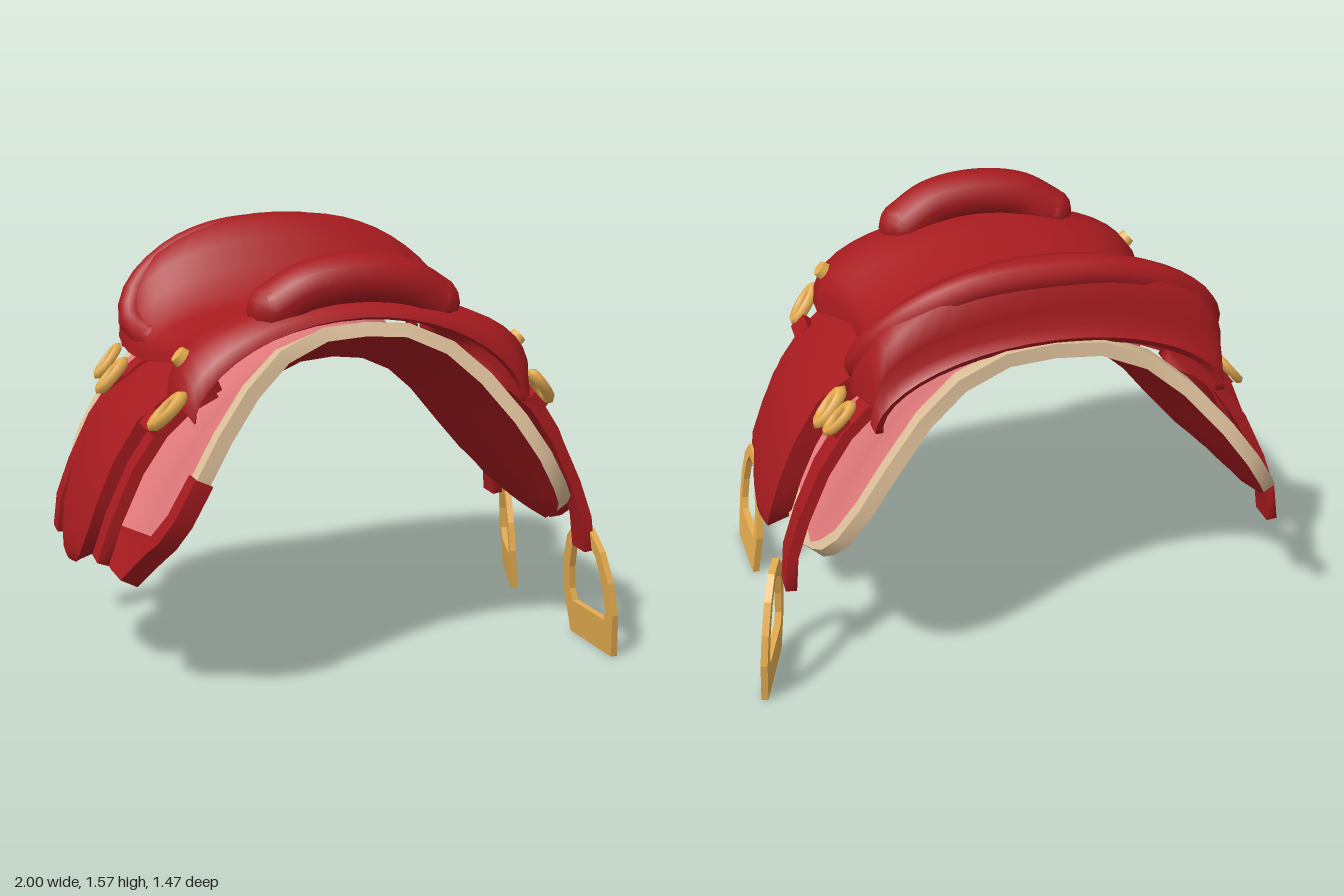
import * as THREE from 'three';

const mat = (name, color, side = THREE.FrontSide) => {
  const m = new THREE.MeshStandardMaterial({ color, side });
  m.name = name;
  return m;
};
const V = (x, y, z) => new THREE.Vector3(x, y, z);
const { lerp, clamp } = THREE.MathUtils;

// Curved sheet with thickness: rows run outward, columns run front to back.
// Material slots: 0 face, 1 face border, 2 rim, 3 underside.
function sheet(name, rows, thick, mats, flip = false) {
  if (flip) rows = rows.map(r => [...r].reverse());
  const n = rows.length, m = rows[0].length;
  const at = (i, j) => rows[clamp(i, 0, n - 1)][clamp(j, 0, m - 1)];
  const inner = rows.map((r, i) => r.map((p, j) => {
    const du = at(i + 1, j).clone().sub(at(i - 1, j));
    const dv = at(i, j + 1).clone().sub(at(i, j - 1));
    return p.clone().addScaledVector(du.cross(dv).normalize(), -thick);
  }));
  const pos = [], idx = [[], [], [], []];
  const add = p => pos.push(p.x, p.y, p.z) / 3 - 1;
  const quad = (k, a, b, c, d) => idx[k].push(a, b, c, a, c, d);
  const o = rows.map(r => r.map(add)), q = inner.map(r => r.map(add));
  for (let i = 0; i < n - 1; i++) for (let j = 0; j < m - 1; j++) {
    const edge = i === 0 || j === 0 || i === n - 2 || j === m - 2;
    quad(edge ? 1 : 0, o[i][j], o[i + 1][j], o[i + 1][j + 1], o[i][j + 1]);
    quad(3, q[i][j], q[i][j + 1], q[i + 1][j + 1], q[i + 1][j]);
  }
  // rim walks round the boundary
  const loop = [];
  for (let i = 0; i < n - 1; i++) loop.push([i, 0]);
  for (let j = 0; j < m - 1; j++) loop.push([n - 1, j]);
  for (let i = n - 1; i > 0; i--) loop.push([i, m - 1]);
  for (let j = m - 1; j > 0; j--) loop.push([0, j]);
  const ro = loop.map(([i, j]) => add(rows[i][j])), ri = loop.map(([i, j]) => add(inner[i][j]));
  loop.forEach((_, k) => {
    const l = (k + 1) % loop.length;
    quad(2, ro[k], ri[k], ri[l], ro[l]);
  });
  const g = new THREE.BufferGeometry();
  g.setAttribute('position', new THREE.Float32BufferAttribute(pos, 3));
  g.setIndex(idx.flat());
  let start = 0;
  idx.forEach((list, k) => { g.addGroup(start, list.length, k); start += list.length; });
  g.computeVertexNormals();
  const mesh = new THREE.Mesh(g, mats);
  mesh.name = name;
  return mesh;
}

export function createModel() {
  const red = mat('red leather', 0xa71b1f, THREE.DoubleSide);
  const pink = mat('pink panel', 0xe27a7c);
  const cream = mat('cream trim', 0xdfc19b);
  const gold = mat('brass', 0xf0b454);
  const allRed = [red, red, red, red];

  const model = new THREE.Group();
  model.name = 'saddle';
  const body = new THREE.Group();
  body.name = 'saddleBody';
  body.position.x = -0.05;
  model.add(body);
  const put = (parent, name, geo, material, x = 0, y = 0, z = 0) => {
    const mesh = new THREE.Mesh(geo, material);
    mesh.name = name;
    mesh.position.set(x, y, z);
    parent.add(mesh);
    return mesh;
  };

  // Pad: arched sheet, pink with a cream border and red underside [x, y, front z, back z]
  const half = [[0, 1.33, .56, -.6], [.16, 1.32, .57, -.61], [.32, 1.255, .6, -.63], [.45, 1.145, .64, -.66],
    [.57, 1.005, .69, -.71], [.66, .875, .72, -.73], [.73, .76, .7, -.7], [.775, .69, .65, -.64],
    [.8, .64, .57, -.55], [.85, .555, .36, -.32]];
  const arch = [...half.slice(1).reverse().map(([x, ...r]) => [-x, ...r]), ...half];
  // sags along the middle; the right front corner hangs lower
  const padPoint = (x, y, z) => {
    const sag = (.15 + .05 * Math.abs(x)) * Math.max(0, 1 - (z / .55) ** 2) * Math.min(1, (.87 - Math.abs(x)) / .25);
    const hang = .3 * clamp(-x - .65, 0, .2) * clamp(z * 3, 0, 1);
    return V(x * (1 - .08 * z), y - sag - hang, z);
  };
  body.add(sheet('pad', arch.map(([x, y, zf, zb]) => {
    const zs = [zf, zf - .06];
    for (let k = 1; k < 12; k++) zs.push(lerp(zf - .06, zb + .06, k / 12));
    zs.push(zb + .06, zb);
    return zs.map(z => padPoint(x, y, z));
  }), .05, [pink, cream, cream, red]));

  // Red leather edging over the pad's right front corner [x, y, front z, back z]
  body.add(sheet('rightCornerEdging', [[-.865, .545, .5, .12], [-.8, .645, .6, .12], [-.775, .69, .67, .58],
    [-.73, .76, .715, .635], [-.66, .875, .735, .66]].map(([x, y, zf, zb]) =>
    [0, .33, .67, 1].map(t => padPoint(x, y, lerp(zf, zb, t)).add(V(-.008, .006, 0)))), .065, allRed));

  // Seat: dished loft from pommel to cantle [z, crown height, half width, edge height, fullness]
  const stations = [[.565, 1.345, .59, 1.02, 1.2], [.555, 1.37, .61, 1.05, 1], [.48, 1.4, .64, 1.08], [.38, 1.4, .64, 1.08],
    [.28, 1.37, .59, 1.1], [.15, 1.33, .55, 1.11], [0, 1.3, .55, 1.11], [-.15, 1.31, .59, 1.1],
    [-.23, 1.35, .62, 1.1], [-.31, 1.43, .64, 1.11], [-.38, 1.52, .65, 1.13], [-.44, 1.585, .65, 1.15],
    [-.5, 1.6, .63, 1.16], [-.55, 1.56, .61, 1.15], [-.57, 1.44, .61, 1.13], [-.565, 1.37, .62, 1.1, 1],
    [-.6, 1.345, .61, 1.08, 1.1]];
  const seatRows = [];
  for (let i = 0; i <= 22; i++) {
    const a = (i / 22 - .5) * Math.PI;
    seatRows.push(stations.map(([z, h, w, e, power = .8]) =>
      V(w * Math.sin(a), e + (h - e) * Math.pow(Math.max(0, Math.cos(a)), power), z)));
  }
  body.add(sheet('seat', seatRows, .03, allRed));

  // Padded rolls: bent tubes with rounded ends
  const roll = (name, pts, r) => {
    const mirrored = pts.slice(1).map(p => V(-p.x, p.y, p.z)).reverse();
    const curve = new THREE.CatmullRomCurve3([...mirrored, ...pts]);
    put(body, name, new THREE.TubeGeometry(curve, 28, r, 10), red);
    const tip = pts[pts.length - 1];
    for (const s of [1, -1])
      put(body, name + 'End', new THREE.SphereGeometry(r, 10, 8), red, s * tip.x, tip.y, tip.z);
  };
  roll('pommelRoll', [V(0, 1.465, .47), V(.17, 1.44, .465), V(.29, 1.37, .45)], .09);
  roll('cantleRoll', [V(0, 1.54, -.51), V(.25, 1.52, -.505), V(.43, 1.45, -.49), V(.57, 1.33, -.44),
    V(.61, 1.22, -.36), V(.56, 1.17, -.25)], .055);

  // Side flaps, straps and brass fittings
  const flap = [[.48, 1.15, .32, -.18], [.62, 1.09, .34, -.18], [.75, 1, .35, -.18], [.84, .86, .355, -.19],
    [.9, .72, .35, -.185], [.935, .6, .32, -.17], [.95, .52, .26, -.14], [.95, .47, .18, -.1], [.94, .44, .1, -.04]];
  const strap = [[.5, 1.12], [.6, 1.07], [.69, .99], [.78, .86], [.86, .69], [.91, .55], [.925, .42]];
  for (const s of [1, -1]) {
    const side = s > 0 ? 'left' : 'right';
    body.add(sheet(side + 'Flap', flap.map(([x, y, zf, zb]) => {
      const row = [];
      for (let k = 0; k <= 6; k++) {
        const t = k / 6;
        row.push(V(s * (x + .02 * Math.sin(t * Math.PI) - .015), y, lerp(zf, zb, t)));
      }
      return row;
    }), .08, allRed, s < 0));

    for (const [end, z0, z1] of [['Front', .41, .43], ['Rear', -.34, -.41]]) {
      // the right front strap is shorter
      const path = s < 0 && end === 'Front' ? strap.slice(0, 6) : strap;
      body.add(sheet(side + end + 'Strap', path.map(([x, y], i) => {
        const z = lerp(z0, z1, i / (strap.length - 1));
        return [.05, 0, -.05].map(d => V(s * x, y, z + d));
      }), .04, allRed, s < 0));
      // leather keeper over the strap
      const keeper = put(body, side + end + 'Keeper', new THREE.BoxGeometry(.05, .07, .12), red, s * .69, 1.0, z0);
      keeper.rotation.z = s * .75;
    }

    // fittings lie on the slope: y runs uphill, z points outward
    const out = V(s * .76, .65, 0), uphill = V(-s * .65, .76, 0);
    const basis = new THREE.Matrix4().makeBasis(uphill.clone().cross(out), uphill, out);
    const ring = (name, x, y, z, r, tube, tilt) => {
      const t = put(body, name, new THREE.TorusGeometry(r, tube, 6, 12), gold, s * x, y, z);
      t.quaternion.setFromRotationMatrix(basis);
      t.rotateZ(s * tilt);
      t.scale.set(.75, 1.5, 1);
    };
    ring(side + 'FrontBuckle', .67, 1.06, .515, .044, .021, .45);
    ring(side + 'RearBuckle', .71, 1.03, -.285, .04, .021, .15);
    ring(side + 'RearRing', .7, 1.06, -.425, .04, .017, -.2);
    const stud = put(body, side + 'Stud', new THREE.CylinderGeometry(.03, .035, .03, 8), gold, s * .605, 1.225, .44);
    stud.quaternion.setFromUnitVectors(V(0, 1, 0), out);
  }

  // Stirrups hang on the left side only: arched frames with a deep flat tread
  const outline = new THREE.Shape([[-.15, .03], [.15, .03], [.18, .2], [.165, .32], [.12, .43], [.05, .5], [-.05, .5],
    [-.12, .43], [-.165, .32], [-.18, .2]].map(([x, y]) => new THREE.Vector2(x, y)));
  outline.holes.push(new THREE.Path([[-.115, .165], [-.13, .21], [-.12, .3], [-.085, .4], [-.035, .455], [.035, .455],
    [.085, .4], [.12, .3], [.13, .21], [.115, .165]].map(([x, y]) => new THREE.Vector2(x, y))));
  for (const [name, x, z, turn, lean] of [['frontStirrup', .87, .42, .06, .12], ['rearStirrup', .91, -.41, -.3, .08]]) {
    const g = new THREE.Group();
    g.name = name;
    g.position.set(x, 0, z);
    g.rotation.y = Math.PI / 2 + turn;
    const frame = new THREE.ExtrudeGeometry(outline, { depth: .025, bevelEnabled: false });
    // frame leans outward towards the tread
    const p = frame.attributes.position;
    for (let i = 0; i < p.count; i++) p.setZ(i, p.getZ(i) + lean * (.44 - p.getY(i)) - .0125);
    frame.computeVertexNormals();
    put(g, name + 'Frame', frame, gold);
    model.add(g);
  }
  return model;
}
